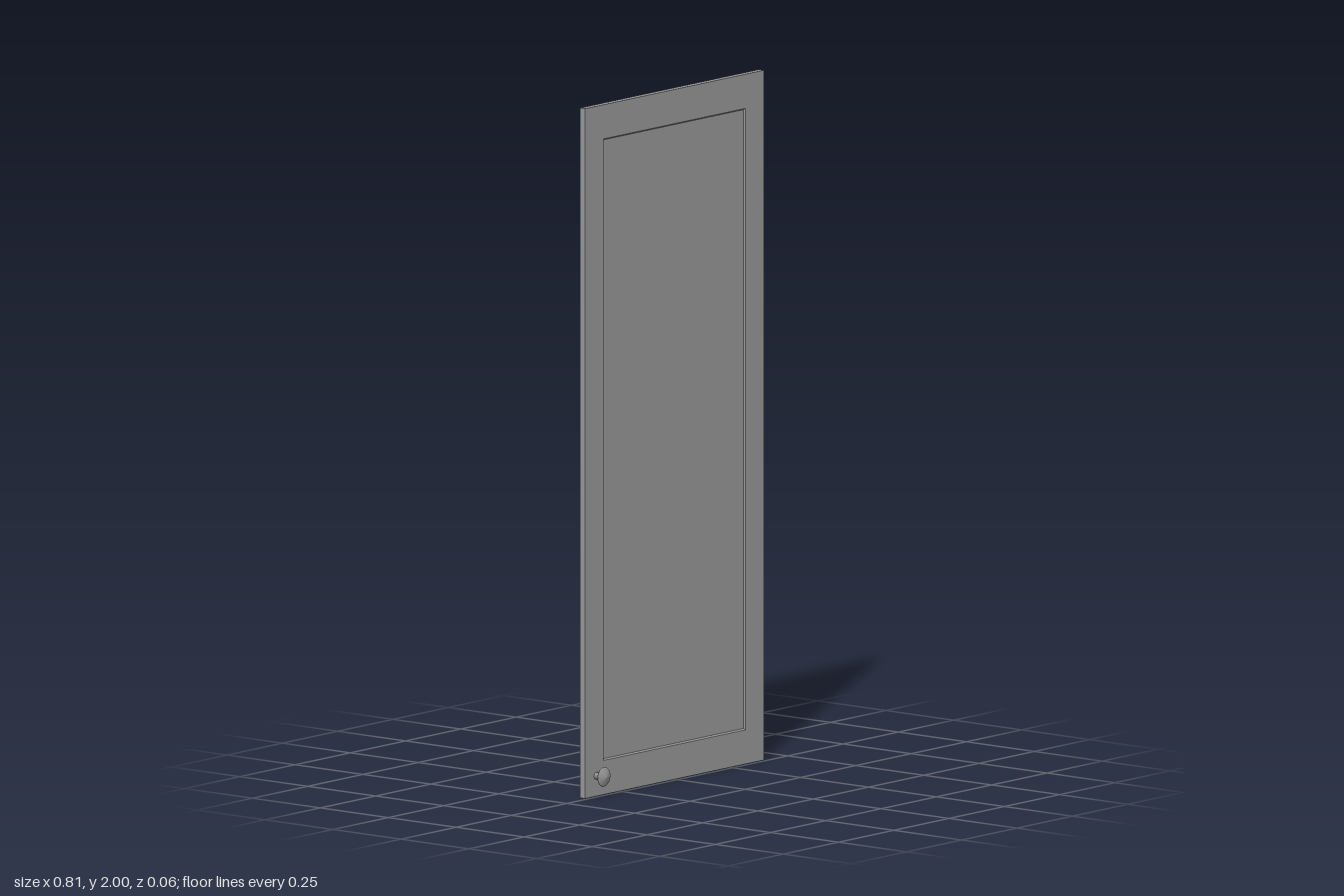
import * as THREE from 'three';

const material = new THREE.MeshStandardMaterial({ color: 0x999999 });
const W = 0.81, H = 2, BACK = -0.029, FRONT = -0.01, RECESS = 0.005;
const OPEN_W = 0.642, OPEN_H = 1.802, SLOPE = 0.004;

function rectangle(target, w, h) {
  target.moveTo(-w / 2, -h / 2);
  target.lineTo(w / 2, -h / 2);
  target.lineTo(w / 2, h / 2);
  target.lineTo(-w / 2, h / 2);
  target.closePath();
  return target;
}

// Four sloping walls from the opening's edge down to the smaller panel
function slopedWalls() {
  const ring = (w, h, z) => [[-1, -1], [1, -1], [1, 1], [-1, 1]].map(([x, y]) => [x * w / 2, y * h / 2, z]);
  const outer = ring(OPEN_W, OPEN_H, 0);
  const inner = ring(OPEN_W - 2 * SLOPE, OPEN_H - 2 * SLOPE, -RECESS);
  const positions = [];
  for (let i = 0; i < 4; i++) {
    const j = (i + 1) % 4;
    for (const p of [outer[i], outer[j], inner[j], outer[i], inner[j], inner[i]]) positions.push(...p);
  }
  const geometry = new THREE.BufferGeometry();
  geometry.setAttribute('position', new THREE.Float32BufferAttribute(positions, 3));
  geometry.computeVertexNormals();
  return geometry;
}

function addMesh(parent, name, geometry, x, y, z) {
  const mesh = new THREE.Mesh(geometry, material);
  mesh.name = name;
  mesh.position.set(x, y, z);
  parent.add(mesh);
}

export function createModel() {
  const door = new THREE.Group();
  door.name = 'cabinetDoor';

  // Frame of stiles and rails around the panel opening
  const outline = rectangle(new THREE.Shape(), W, H);
  outline.holes.push(rectangle(new THREE.Path(), OPEN_W, OPEN_H));
  const frame = new THREE.ExtrudeGeometry(outline, { depth: FRONT - BACK, bevelEnabled: false });
  addMesh(door, 'frame', frame, 0, H / 2, BACK);

  // Panel set back from the front, flush with the back, and its sloping border
  const panelDepth = FRONT - BACK - RECESS;
  addMesh(door, 'recessedPanel', new THREE.BoxGeometry(OPEN_W, OPEN_H, panelDepth), 0, H / 2, BACK + panelDepth / 2);
  addMesh(door, 'panelBorder', slopedWalls(), 0, H / 2, FRONT);

  // Turned knob: stem, thin rounded rim and shallow conical face
  const profile = [
    [0, 0], [0.0105, 0], [0.0105, 0.0245], [0.0255, 0.0255], [0.0275, 0.0265],
    [0.0285, 0.028], [0.0275, 0.0295], [0.025, 0.031], [0.012, 0.036], [0, 0.039],
  ].map(([r, h]) => new THREE.Vector2(r, h));
  const knob = new THREE.LatheGeometry(profile, 32);
  knob.rotateX(Math.PI / 2);
  addMesh(door, 'knob', knob, -0.354, 0.059, FRONT);

  return door;
}
